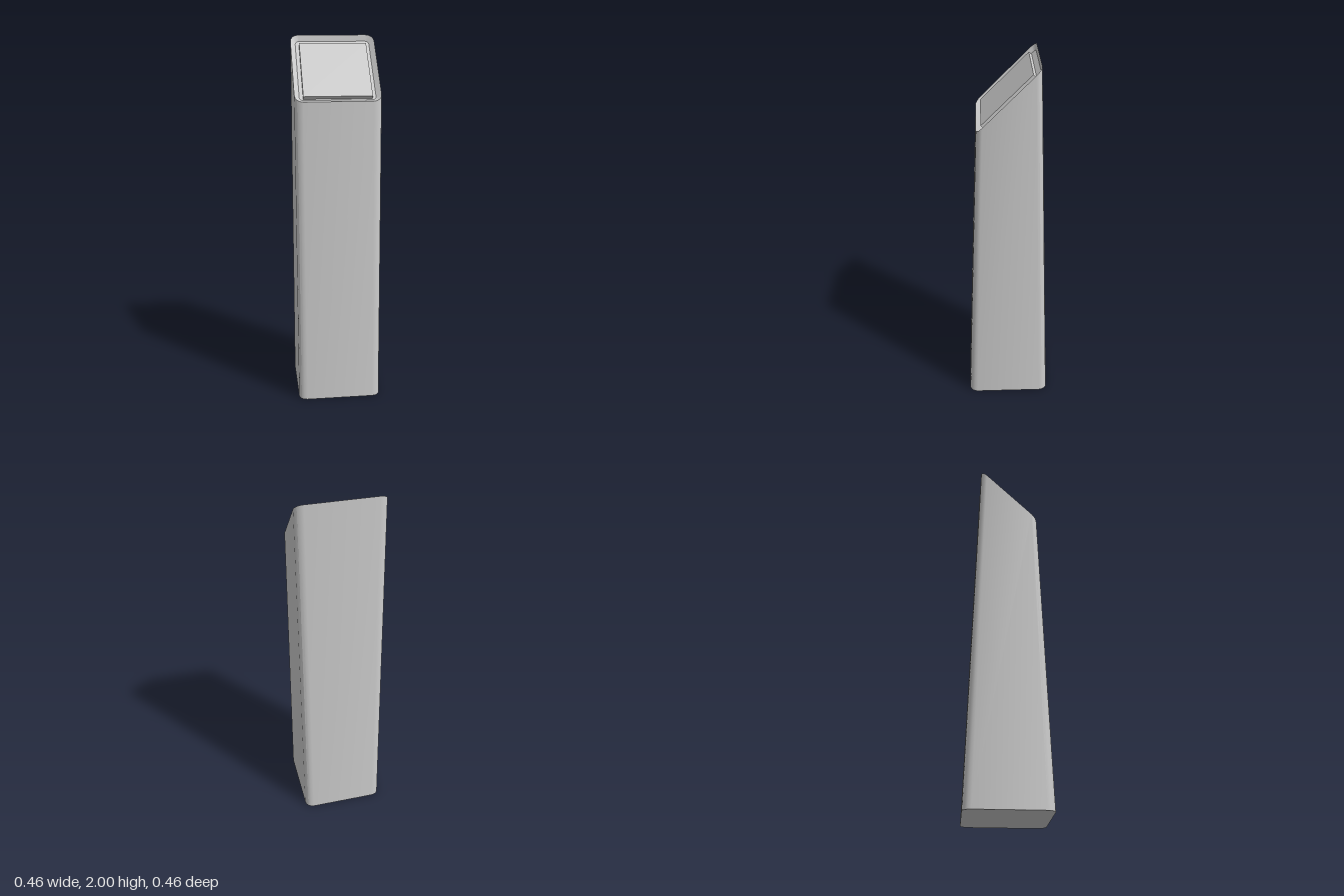
import * as THREE from 'three';
import { toCreasedNormals } from 'three/addons/utils/BufferGeometryUtils.js';

const SLOPE = Math.PI / 4;
const CORNER_STEPS = 4;
const HALF = 0.23;
const TOP_Y = 1.837; // centre height of the sloped top

// Rounded square outline as [u, v] pairs, running from +u towards +v
function roundedSquare(half, radius) {
  const points = [];
  for (let corner = 0; corner < 4; corner++) {
    const mid = (corner + 0.5) * Math.PI / 2;
    const cu = Math.sign(Math.cos(mid)) * (half - radius);
    const cv = Math.sign(Math.sin(mid)) * (half - radius);
    for (let i = 0; i <= CORNER_STEPS; i++) {
      const a = (corner + i / CORNER_STEPS) * Math.PI / 2;
      points.push([cu + radius * Math.cos(a), cv + radius * Math.sin(a)]);
    }
  }
  return points;
}

// Place an outline in the sloped top plane, sunk by depth along its normal
function onSlope(outline, depth) {
  const c = Math.cos(SLOPE), s = Math.sin(SLOPE);
  return outline.map(([u, v]) => [u, TOP_Y - v * s - depth * c, v * c - depth * s]);
}

// Skin a list of matching rings and close both ends
function loft(rings) {
  const n = rings[0].length;
  const positions = rings.flat(2);
  const index = [];
  for (let r = 0; r < rings.length - 1; r++) {
    for (let i = 0; i < n; i++) {
      const a = r * n + i, b = r * n + (i + 1) % n;
      index.push(a, a + n, b, a + n, b + n, b);
    }
  }
  const last = (rings.length - 1) * n;
  for (let i = 1; i < n - 1; i++) {
    index.push(0, i, i + 1);
    index.push(last, last + i + 1, last + i);
  }
  const geometry = new THREE.BufferGeometry();
  geometry.setAttribute('position', new THREE.Float32BufferAttribute(positions, 3));
  geometry.setIndex(index);
  return toCreasedNormals(geometry, 0.5);
}

export function createModel() {
  const group = new THREE.Group();
  const material = new THREE.MeshStandardMaterial({ color: 0xcccccc });

  // Tapered column with a bevelled recess in its sloped top
  const outer = roundedSquare(HALF, 0.045);
  const body = new THREE.Mesh(loft([
    outer.map(([u, v]) => [u, 0, v]),
    onSlope(outer, 0),
    onSlope(roundedSquare(0.203, 0.02), 0.022),
  ]), material);
  body.name = 'column';
  group.add(body);

  // Square panel lying in the recess, flush with the rim
  const panel = new THREE.Mesh(new THREE.BoxGeometry(0.366, 0.024, 0.366), material);
  panel.name = 'topPanel';
  panel.position.set(0, TOP_Y - 0.017, 0);
  panel.rotation.x = SLOPE;
  group.add(panel);

  return group;
}
